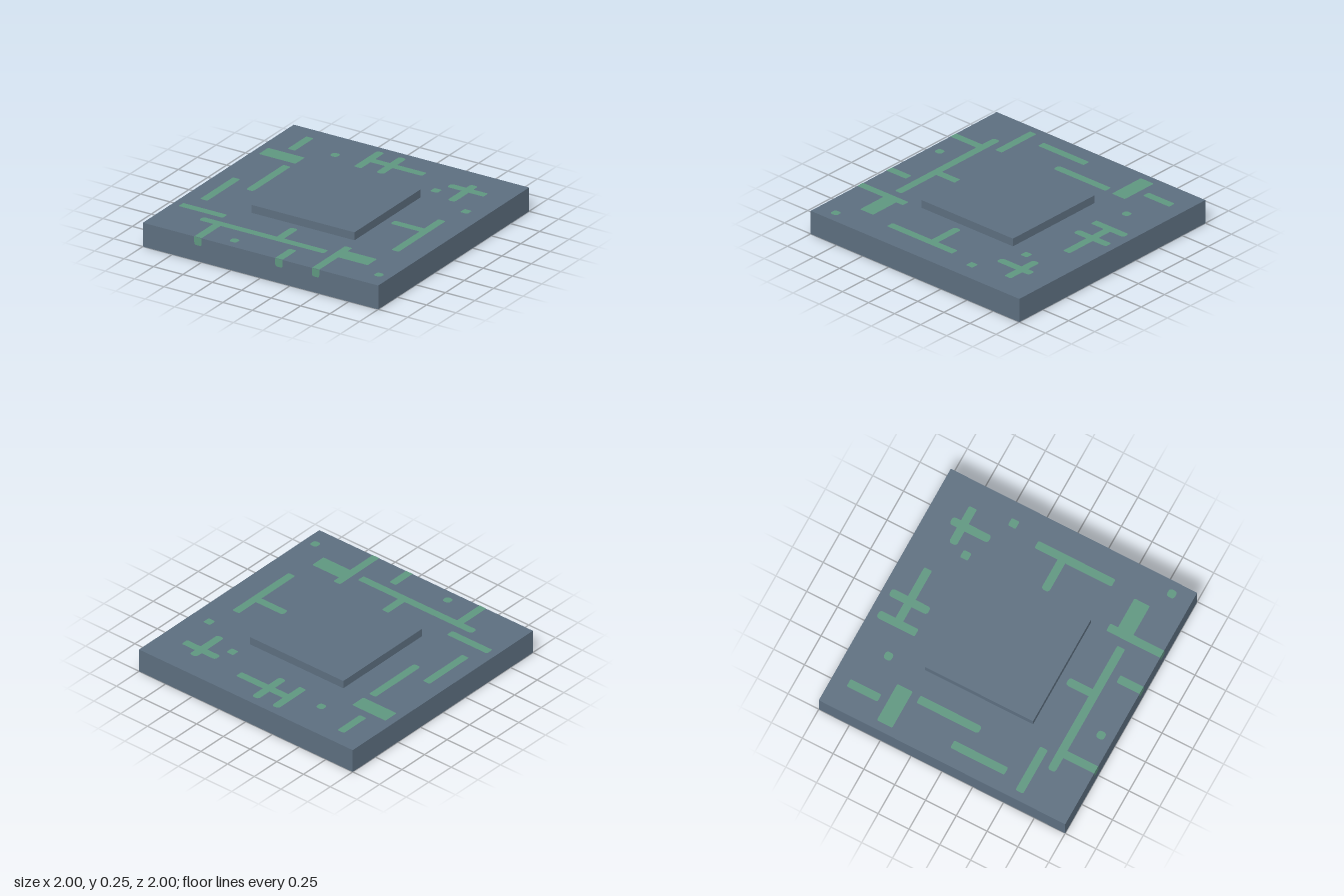
import * as THREE from 'three';

const U = 1 / 16; // layout unit
const LIFT = 0.002; // height of painted plates above the surface
const S = 0.2, R = 0.42, Q = 0; // corner radii: slight, round, square

// Traces on the top: [x0, z0, x1, z1, radius at left/back end, radius at right/front end]
const TRACES = [
  // back side
  [-13, -14, -12, -10, S, S], [-8, -12, -7, -11, R, R],
  [-4, -15, -3, -10, R, S], [-1, -15, 0, -10, R, R],
  [-3, -13, -1, -12, Q, Q], [0, -13, 4, -12, Q, S],
  [8, -12, 10, -11, R, Q], [11, -12, 13, -11, Q, S],
  [10, -13, 11, -8, R, R], [7, -10, 8, -9, S, S], [13, -7, 14, -6, S, S],
  // left and right sides
  [-15, -9, -10, -7, S, S], [-11, -6, -10, 2, S, R], [-14, 0, -13, 7, S, S],
  [12, -3, 13, 7, S, S], [8, 0, 12, 1, R, Q],
  // front side
  [-15, 9, -9, 10, S, S], [-11, 11, 6, 12, R, S], [-1, 8, 0, 11, R, Q],
  [-9, 12, -8, 16, Q, Q], [-5, 14, -4, 15, R, R], [2, 13, 3, 16, S, Q],
  [7, 9, 8, 16, S, Q], [8, 10, 12, 12, Q, S], [14, 13, 15, 14, R, R],
];

// Flat rectangle with radii for bottom-left, bottom-right, top-right, top-left
function plate(x0, y0, x1, y1, bl, br, tr, tl) {
  [x0, y0, x1, y1, bl, br, tr, tl] = [x0, y0, x1, y1, bl, br, tr, tl].map(v => v * U);
  const s = new THREE.Shape();
  s.moveTo(x0 + bl, y0);
  s.lineTo(x1 - br, y0);
  if (br) s.quadraticCurveTo(x1, y0, x1, y0 + br);
  s.lineTo(x1, y1 - tr);
  if (tr) s.quadraticCurveTo(x1, y1, x1 - tr, y1);
  s.lineTo(x0 + tl, y1);
  if (tl) s.quadraticCurveTo(x0, y1, x0, y1 - tl);
  s.lineTo(x0, y0 + bl);
  if (bl) s.quadraticCurveTo(x0, y0, x0 + bl, y0);
  return new THREE.ShapeGeometry(s, 5);
}

export function createModel() {
  const model = new THREE.Group();
  model.name = 'circuitPlate';
  const slate = new THREE.MeshStandardMaterial({ color: 0x5d6f80 });
  slate.name = 'slate';
  const green = new THREE.MeshStandardMaterial({ color: 0x5f9780 });
  green.name = 'circuitGreen';

  const add = (name, geometry, material, parent = model) => {
    const mesh = new THREE.Mesh(geometry, material);
    mesh.name = name;
    parent.add(mesh);
    return mesh;
  };

  // Base slab and raised centre pad
  add('base', new THREE.BoxGeometry(2, 3 * U, 2), slate).position.y = 1.5 * U;
  add('centrePad', new THREE.BoxGeometry(14 * U, U, 14 * U), slate).position.y = 3.5 * U;

  // Painted traces on the top
  const traces = new THREE.Group();
  traces.name = 'topTraces';
  model.add(traces);
  for (const [x0, z0, x1, z1, a, b] of TRACES) {
    const wide = x1 - x0 > z1 - z0;
    const radii = wide ? [a, b, b, a] : [b, b, a, a];
    const geometry = plate(x0, -z1, x1, -z0, ...radii).rotateX(-Math.PI / 2);
    add('trace', geometry, green, traces).position.y = 3 * U + LIFT;
  }

  // Trace ends folding over the front edge
  const ends = new THREE.Group();
  ends.name = 'frontTraceEnds';
  model.add(ends);
  for (const x of [-9, 2, 7]) {
    add('traceEnd', plate(x, 2, x + 1, 3, R * 0.7, R * 0.7, Q, Q), green, ends).position.z = 1 + LIFT;
  }
  return model;
}
